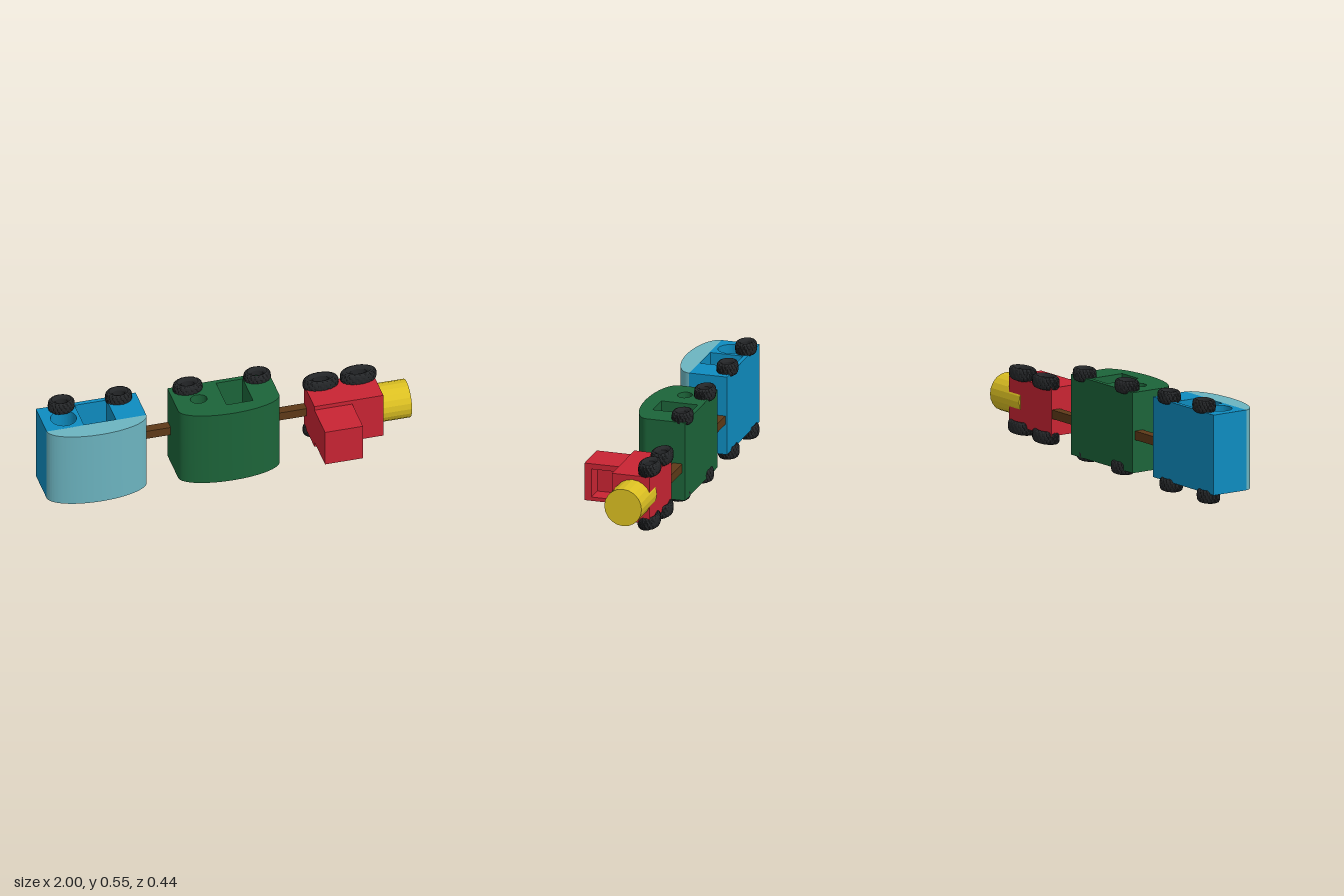
import * as THREE from 'three';
import { toCreasedNormals } from 'three/addons/utils/BufferGeometryUtils.js';

const mat = (color, extra = {}) => {
  const m = new THREE.MeshStandardMaterial({ color, ...extra });
  return m;
};
const BLUE = mat(0x0e8cc0), PALE = mat(0x6cb4c0), GREEN = mat(0x1c6439), RED = mat(0xc92433);
const YELLOW = mat(0xdcc022, { flatShading: true }), BROWN = mat(0x5e3a18), BLACK = mat(0x242628, { flatShading: true });

function add(group, name, geometry, material) {
  const mesh = new THREE.Mesh(geometry, material);
  mesh.name = name;
  group.add(mesh);
  return mesh;
}

// Box given by its limits on each axis
function block(x0, x1, y0, y1, z0, z1) {
  return new THREE.BoxGeometry(x1 - x0, y1 - y0, z1 - z0)
    .translate((x0 + x1) / 2, (y0 + y1) / 2, (z0 + z1) / 2);
}

// Plan outlines use (x, -z) and are extruded upwards
function rectPath(path, x0, x1, z0, z1) {
  path.moveTo(x0, -z0);
  path.lineTo(x1, -z0);
  path.lineTo(x1, -z1);
  path.lineTo(x0, -z1);
  path.closePath();
  return path;
}
function ovalHole(x, z, rx, rz) {
  return new THREE.Path().absellipse(x, -z, rx, rz, 0, Math.PI * 2, true);
}
function extrudeUp(shape, y0, y1) {
  const g = new THREE.ExtrudeGeometry(shape, { depth: y1 - y0, bevelEnabled: false, curveSegments: 32 });
  g.rotateX(-Math.PI / 2).translate(0, y0, 0);
  return toCreasedNormals(g, 0.5);
}

// Carriage outline with a bowed side; zBack equals zBow for the bow alone
function bowedShape(x0, x1, zBack, zBow, zFront) {
  const s = new THREE.Shape();
  const cx = (x0 + x1) / 2, rx = (x1 - x0) / 2;
  s.moveTo(x0, -zBow);
  s.absellipse(cx, -zBow, rx, zFront - zBow, Math.PI, Math.PI * 2, false);
  if (zBack < zBow) {
    s.lineTo(x1, -zBack);
    s.lineTo(x0, -zBack);
  }
  s.closePath();
  return s;
}

// Knobbly ring tyre, axis along y, unit outer radius
function tyreGeometry(thickness) {
  const h = thickness / 2;
  const profile = [[0.45, -0.55], [0.55, -0.85], [0.72, -1], [0.86, -0.9], [0.95, -0.7], [0.99, -0.4], [1, -0.13],
    [1, 0.13], [0.99, 0.4], [0.95, 0.7], [0.86, 0.9], [0.72, 1], [0.55, 0.85], [0.45, 0.55], [0.45, -0.55]];
  const segments = 72;
  const g = new THREE.LatheGeometry(profile.map(([r, y]) => new THREE.Vector2(r, y * h)), segments);
  const p = g.attributes.position;
  for (let i = 0; i < p.count; i++) {
    const row = i % profile.length, column = Math.floor(i / profile.length) % segments;
    const r = Math.hypot(p.getX(i), p.getZ(i));
    // Staggered grooves across the tread
    if (r > 0.85 && (column + (row % 4 < 2 ? 0 : 2)) % 4 === 0) {
      p.setXYZ(i, p.getX(i) * 0.96, p.getY(i), p.getZ(i) * 0.96);
    }
  }
  g.computeVertexNormals();
  return g;
}

export function createModel() {
  const model = new THREE.Group();
  model.name = 'toyTrain';

  // Rear carriage with separate bowed roof
  const rear = new THREE.Group();
  rear.name = 'rearCarriage';
  const rearShape = rectPath(new THREE.Shape(), -1, -0.455, 0.015, -0.197);
  rearShape.holes.push(ovalHole(-0.883, -0.077, 0.069, 0.068),
    rectPath(new THREE.Path(), -0.795, -0.62, -0.173, 0.008));
  add(rear, 'rearBody', extrudeUp(rearShape, 0.055, 0.488), BLUE);
  add(rear, 'rearRoof', extrudeUp(bowedShape(-1, -0.455, 0.012, 0.012, 0.118), 0.055, 0.488), PALE);
  model.add(rear);

  // Middle carriage, body and roof in one
  const middleShape = bowedShape(-0.28, 0.272, -0.202, 0.01, 0.108);
  middleShape.holes.push(ovalHole(-0.147, -0.065, 0.045, 0.038),
    rectPath(new THREE.Path(), -0.02, 0.125, -0.177, 0.024));
  add(model, 'middleCarriage', extrudeUp(middleShape, 0.044, 0.478), GREEN);

  // Engine: chassis, cab with a recessed window, and boiler
  const engine = new THREE.Group();
  engine.name = 'engine';
  add(engine, 'chassis', block(0.463, 0.84, 0.105, 0.365, -0.192, 0.015), RED);
  add(engine, 'cabRear', block(0.463, 0.57, 0.135, 0.342, 0.015, 0.223), RED);
  const frame = new THREE.Shape([[-0.223, 0.135], [-0.015, 0.135], [-0.015, 0.342], [-0.223, 0.342]]
    .map(([x, y]) => new THREE.Vector2(x, y)));
  frame.holes.push(new THREE.Path([[-0.185, 0.156], [-0.185, 0.312], [-0.057, 0.312], [-0.057, 0.156]]
    .map(([x, y]) => new THREE.Vector2(x, y))));
  const frameGeometry = new THREE.ExtrudeGeometry(frame, { depth: 0.1, bevelEnabled: false });
  frameGeometry.rotateY(Math.PI / 2).translate(0.57, 0, 0);
  add(engine, 'cabWindowFrame', frameGeometry, RED);
  const boiler = new THREE.CylinderGeometry(0.103, 0.103, 0.26, 20).rotateZ(-Math.PI / 2);
  add(engine, 'boiler', boiler.translate(0.87, 0.239, -0.098), YELLOW);
  model.add(engine);

  // Coupling bars
  add(model, 'rearCoupling', block(-0.47, -0.27, 0.222, 0.27, -0.187, -0.136), BROWN);
  add(model, 'frontCoupling', block(0.26, 0.475, 0.2, 0.248, -0.187, -0.136), BROWN);

  // Oval tyres: x, y, z, x radius
  const tyre = tyreGeometry(0.07);
  const wheels = [
    [-0.87, 0.513, -0.166, 0.072], [-0.557, 0.505, -0.166, 0.072],
    [-0.91, 0.035, -0.166, 0.072], [-0.577, 0.036, -0.166, 0.072],
    [-0.18, 0.493, -0.166, 0.08], [0.2, 0.487, -0.166, 0.074],
    [-0.143, 0.05, -0.166, 0.074], [0.19, 0.058, -0.147, 0.074],
    [0.547, 0.383, -0.166, 0.097], [0.753, 0.39, -0.166, 0.099],
    [0.547, 0.09, -0.166, 0.097], [0.763, 0.1, -0.166, 0.099],
  ];
  for (const [x, y, z, rx] of wheels) {
    const wheel = add(model, 'wheel', tyre, BLACK);
    wheel.position.set(x, y, z);
    wheel.scale.set(rx, 1, 0.056);
  }
  return model;
}
